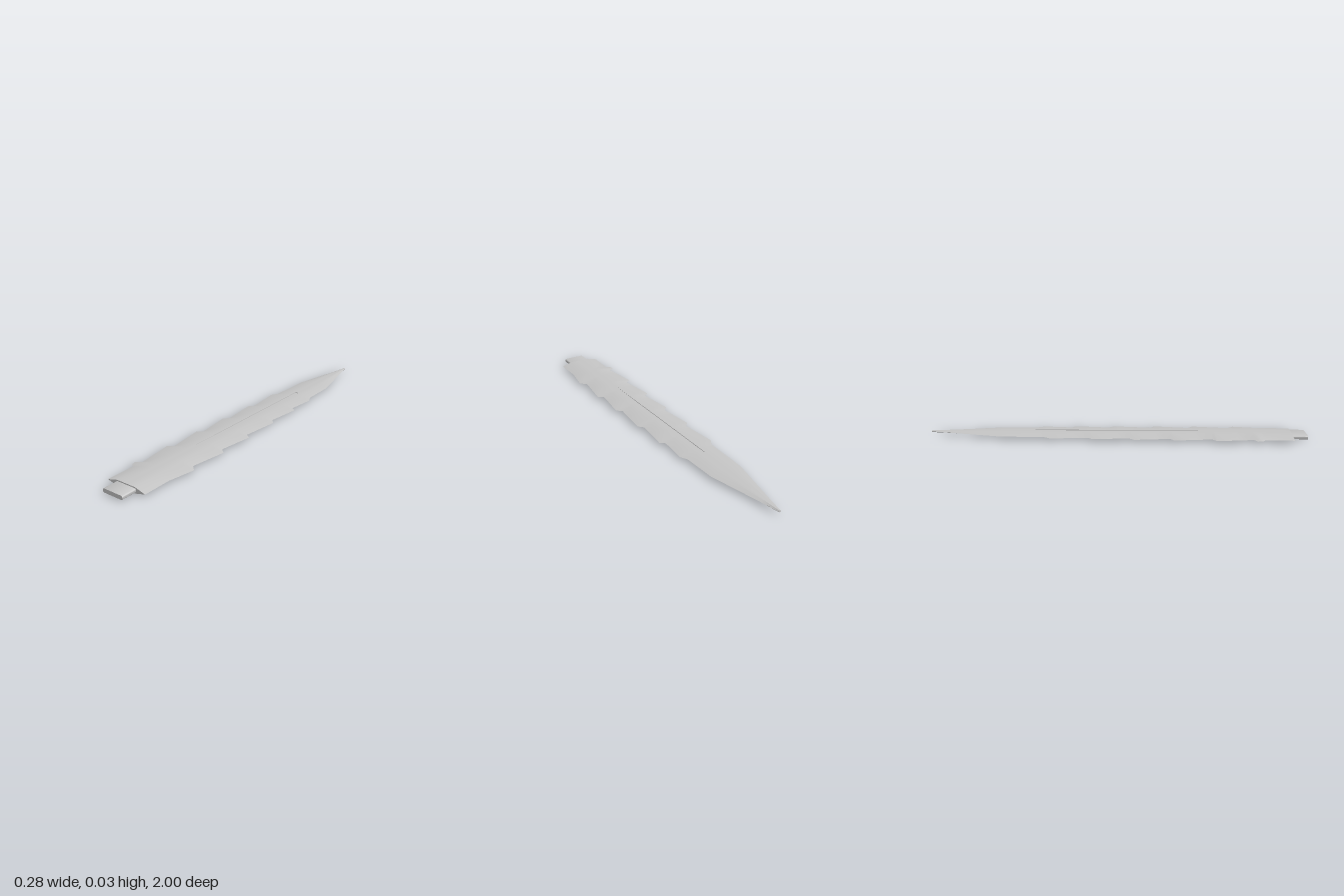
import * as THREE from 'three';
import { toCreasedNormals } from 'three/addons/utils/BufferGeometryUtils.js';

const MID = 0.0165; // height of the cutting edges

// Edge outlines as [z, distance from the centre line], tip to base
const tip = [[-1, 0.006], [-0.9, 0.026], [-0.62, 0.087]];
const leftEdge = [...tip, [-0.44, 0.09], [-0.4, 0.11], [-0.25, 0.095], [-0.23, 0.12],
  [-0.05, 0.099], [-0.02, 0.124], [0.18, 0.102], [0.2, 0.13], [0.385, 0.105], [0.41, 0.134],
  [0.6, 0.107], [0.63, 0.138], [0.77, 0.114], [0.92, 0.115]];
const rightEdge = [...tip, [-0.38, 0.093], [-0.345, 0.115], [-0.15, 0.096], [-0.125, 0.12],
  [0.065, 0.1], [0.09, 0.126], [0.28, 0.103], [0.3, 0.131], [0.495, 0.106], [0.52, 0.135],
  [0.71, 0.109], [0.73, 0.138], [0.755, 0.133], [0.77, 0.112], [0.92, 0.115]];
const thickness = [[-1, 0.004], [-0.7, 0.009], [0, 0.0135], [0.6, 0.016], [0.92, 0.016]];
const flat = [[-1, 0.003], [-0.9, 0.011], [-0.62, 0.042], [0, 0.047], [0.92, 0.055]];

function sample(table, z) {
  for (let i = 1; i < table.length; i++) {
    const [z0, v0] = table[i - 1], [z1, v1] = table[i];
    if (z <= z1) return v0 + (v1 - v0) * (z - z0) / (z1 - z0);
  }
  return table[table.length - 1][1];
}

// Bevelled cross-section with a shallow central groove on both faces
function section(z, depth) {
  const h = sample(thickness, z), f = sample(flat, z);
  const g = Math.min(0.01, f * 0.5);
  const top = [[-f, h], [-g, h], [-g, h - depth], [g, h - depth], [g, h], [f, h]];
  const bottom = top.map(([x, y]) => [-x, -y]);
  return [[-sample(rightEdge, z), 0], ...top, [sample(leftEdge, z), 0], ...bottom]
    .map(([x, y]) => new THREE.Vector3(x, MID + y, z));
}

function bladeGeometry() {
  const start = -0.44, end = 0.51, depth = 0.003;
  const stations = [...new Set([...leftEdge, ...rightEdge, ...thickness, [end]].map(p => p[0]))]
    .sort((a, b) => a - b);
  const rings = [];
  for (const z of stations) {
    if (z === start) rings.push(section(z, 0));
    // the groove is stepped toward the tip and fades out toward the base
    const fade = Math.min(1, (end - z) / 0.3);
    rings.push(section(z, z >= start && z < end ? depth * fade : 0));
  }
  const positions = [];
  const tri = (a, b, c) => {
    const area = b.clone().sub(a).cross(c.clone().sub(a)).length();
    if (area > 1e-9) for (const p of [a, b, c]) positions.push(p.x, p.y, p.z);
  };
  const n = rings[0].length;
  for (let i = 0; i < rings.length - 1; i++) {
    const r = rings[i], s = rings[i + 1];
    for (let j = 0; j < n; j++) {
      const k = (j + 1) % n;
      tri(r[j], s[j], r[k]);
      tri(s[j], s[k], r[k]);
    }
  }
  // Close both ends
  const first = rings[0], last = rings[rings.length - 1];
  const c0 = new THREE.Vector3(0, MID, -1), c1 = new THREE.Vector3(0, MID, 0.92);
  for (let j = 0; j < n; j++) {
    const k = (j + 1) % n;
    tri(c0, first[j], first[k]);
    tri(c1, last[k], last[j]);
  }
  const geo = new THREE.BufferGeometry();
  geo.setAttribute('position', new THREE.Float32BufferAttribute(positions, 3));
  return toCreasedNormals(geo, 0.6);
}

// Flat bar with softened corners that plugs into the hilt
function tangGeometry() {
  const w = 0.06, h = 0.0105, r = 0.009;
  const s = new THREE.Shape();
  s.moveTo(-w + r, -h);
  s.lineTo(w - r, -h);
  s.quadraticCurveTo(w, -h, w, -h + r);
  s.lineTo(w, h - r);
  s.quadraticCurveTo(w, h, w - r, h);
  s.lineTo(-w + r, h);
  s.quadraticCurveTo(-w, h, -w, h - r);
  s.lineTo(-w, -h + r);
  s.quadraticCurveTo(-w, -h, -w + r, -h);
  const geo = new THREE.ExtrudeGeometry(s, { depth: 0.09, bevelEnabled: false, curveSegments: 4 });
  return toCreasedNormals(geo.translate(0, MID, 0.91), 0.6);
}

export function createModel() {
  const steel = new THREE.MeshStandardMaterial({ color: 0xc4c4c4 });
  steel.name = 'steel grey';
  const group = new THREE.Group();
  group.name = 'serratedBlade';
  const add = (name, geo) => {
    const mesh = new THREE.Mesh(geo, steel);
    mesh.name = name;
    group.add(mesh);
  };
  add('blade', bladeGeometry());
  add('tang', tangGeometry());
  return group;
}
